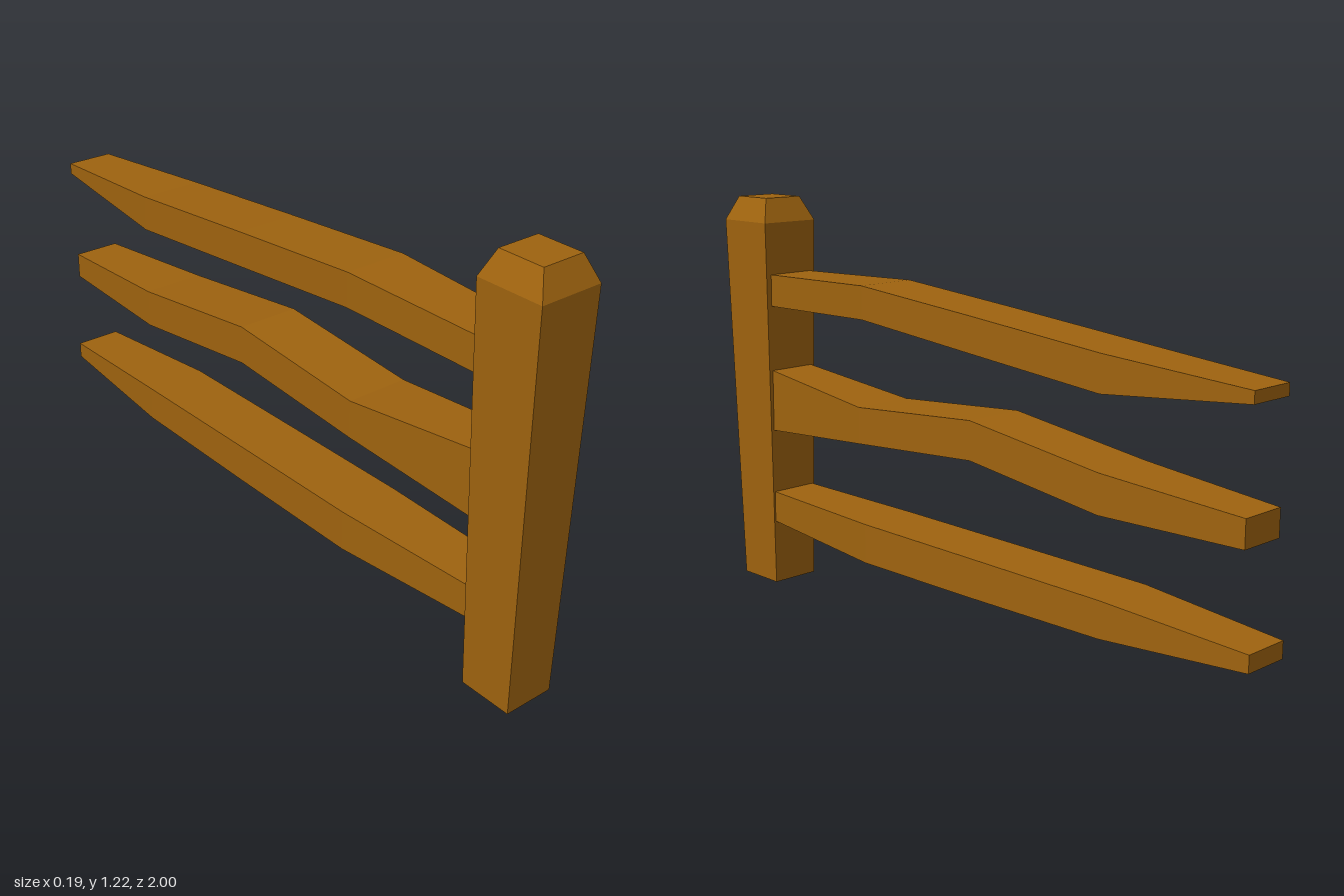
import * as THREE from 'three';

const wood = new THREE.MeshStandardMaterial({ color: 0xa0640f, flatShading: true });

// Skin a row of four-cornered rings, each counter-clockwise about the direction of travel, and cap both ends.
function loft(name, rings) {
  const points = [];
  const quad = (a, b, c, d) => points.push(...a, ...b, ...c, ...a, ...c, ...d);
  for (let i = 0; i < rings.length - 1; i++) {
    const r = rings[i], s = rings[i + 1];
    for (let j = 0; j < 4; j++) {
      const k = (j + 1) % 4;
      quad(r[j], r[k], s[k], s[j]);
    }
  }
  const first = rings[0], last = rings[rings.length - 1];
  quad(first[3], first[2], first[1], first[0]);
  quad(...last);
  const geometry = new THREE.BufferGeometry();
  geometry.setAttribute('position', new THREE.Float32BufferAttribute(points, 3));
  geometry.computeVertexNormals();
  const mesh = new THREE.Mesh(geometry, wood);
  mesh.name = name;
  return mesh;
}

// Post section: height, half width, half depth.
const postRing = ([y, w, d]) => {
  const z = 0.9;
  return [[w, y, z + d], [w, y, z - d], [-w, y, z - d], [-w, y, z + d]];
};

// Rail section: z, half width, top height, bottom height.
const railRing = ([z, w, top, bottom]) =>
  [[w, top, z], [w, bottom, z], [-w, bottom, z], [-w, top, z]];

export function createModel() {
  const group = new THREE.Group();
  group.name = 'fence';

  // Post widening upwards, with a bevelled cap
  group.add(loft('post', [
    [0, 0.076, 0.08],
    [1.145, 0.095, 0.1],
    [1.217, 0.064, 0.068],
  ].map(postRing)));

  // Rough-hewn rails, thinning towards the free end
  const rails = {
    topRail: [
      [0.83, 0.074, 0.987, 0.89], [0.36, 0.093, 0.998, 0.9], [-0.08, 0.093, 0.96, 0.858],
      [-0.54, 0.093, 0.918, 0.815], [-0.985, 0.07, 0.885, 0.852],
    ],
    middleRail: [
      [0.83, 0.074, 0.692, 0.498], [0.38, 0.093, 0.641, 0.532], [-0.08, 0.093, 0.675, 0.563],
      [-0.54, 0.093, 0.614, 0.503], [-0.975, 0.07, 0.58, 0.503],
    ],
    bottomRail: [
      [0.83, 0.074, 0.3, 0.204], [0.36, 0.093, 0.291, 0.172], [-0.08, 0.093, 0.286, 0.172],
      [-0.55, 0.093, 0.28, 0.176], [-1, 0.07, 0.25, 0.202],
    ],
  };
  for (const [name, sections] of Object.entries(rails)) {
    group.add(loft(name, sections.map(railRing)));
  }
  return group;
}
